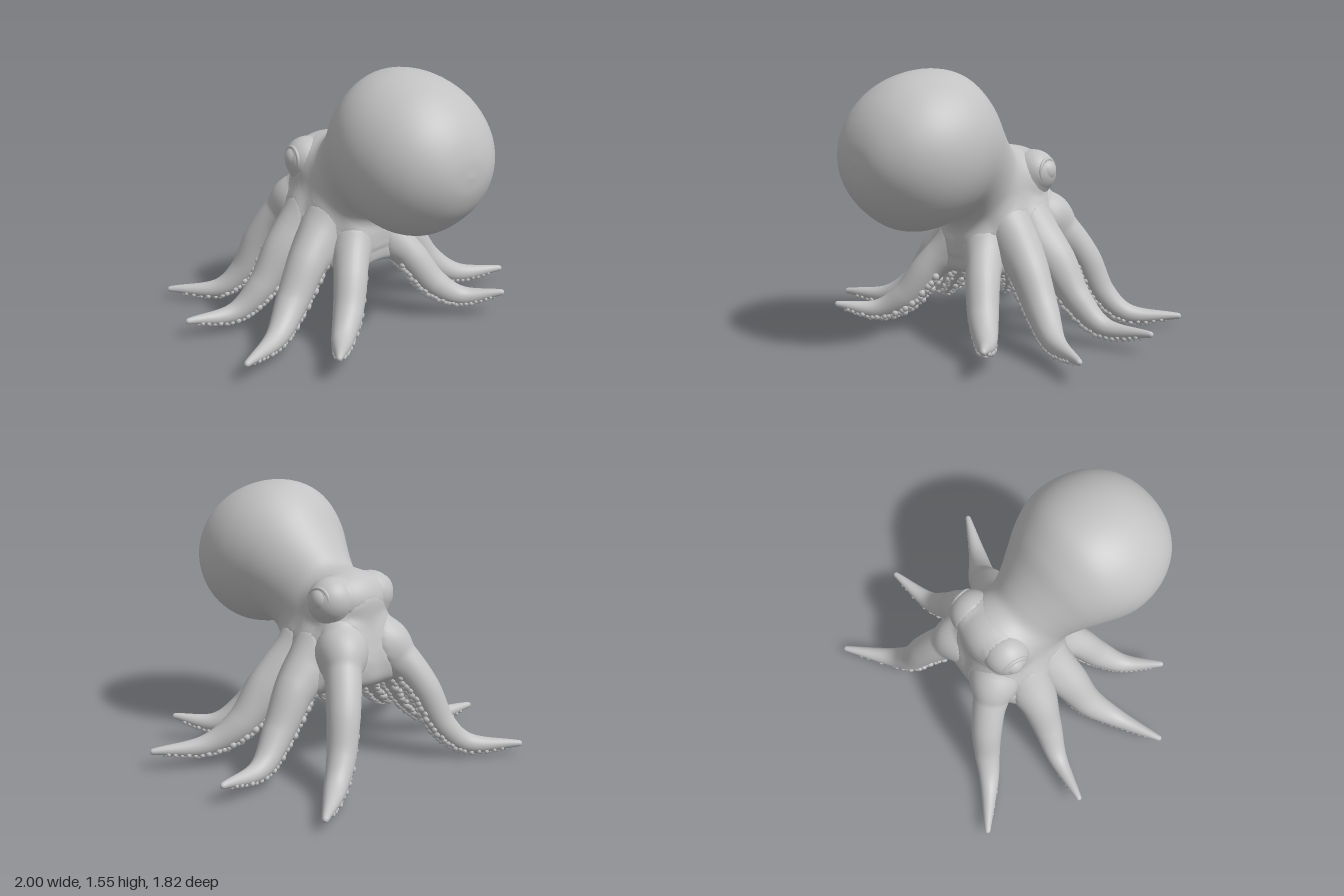
import * as THREE from 'three';
import { mergeGeometries, mergeVertices } from 'three/addons/utils/BufferGeometryUtils.js';

const V = (x, y, z) => new THREE.Vector3(x, y, z);
const skin = new THREE.MeshStandardMaterial({ color: 0xc2c2c2 });
skin.name = 'grey skin';

function part(name, geometry) {
  const m = new THREE.Mesh(geometry, skin);
  m.name = name;
  return m;
}

// Smooth skin over a list of closed rings with equal point counts
function loft(rings) {
  const n = rings[0].length, index = [];
  for (let i = 0; i < rings.length - 1; i++) {
    for (let j = 0; j < n; j++) {
      const k = (j + 1) % n;
      const a = i * n + j, b = i * n + k, c = a + n, d = b + n;
      index.push(a, b, c, b, d, c);
    }
  }
  const g = new THREE.BufferGeometry();
  g.setAttribute('position', new THREE.Float32BufferAttribute(rings.flat().flatMap(p => [p.x, p.y, p.z]), 3));
  g.setIndex(index);
  g.computeVertexNormals();
  return g;
}

function ellipsoid(c, r) {
  const g = new THREE.SphereGeometry(1, 40, 28).scale(...r).translate(...c);
  g.deleteAttribute('uv');
  return mergeVertices(g);
}

// Swell every surface where it meets another, so that the joins become smooth fillets
function blend(geometries, k) {
  const shapes = geometries.map(g => {
    g.computeBoundingBox();
    return { p: g.attributes.position.array.slice(), n: g.attributes.normal.array.slice(), box: g.boundingBox.clone().expandByScalar(k) };
  });
  const point = V(0, 0, 0);
  geometries.forEach((g, gi) => {
    const { p, n } = shapes[gi], out = g.attributes.position.array;
    for (let i = 0; i < p.length; i += 3) {
      point.fromArray(p, i);
      let swell = 0;
      shapes.forEach((o, oi) => {
        if (oi === gi || !o.box.containsPoint(point)) return;
        let best = k * k, near = -1;
        for (let j = 0; j < o.p.length; j += 3) {
          const dx = point.x - o.p[j], dy = point.y - o.p[j + 1], dz = point.z - o.p[j + 2];
          const d2 = dx * dx + dy * dy + dz * dz;
          if (d2 < best) { best = d2; near = j; }
        }
        if (near < 0) return;
        const d = Math.abs((point.x - o.p[near]) * o.n[near] + (point.y - o.p[near + 1]) * o.n[near + 1] + (point.z - o.p[near + 2]) * o.n[near + 2]);
        swell = Math.max(swell, k / 4 * (1 - Math.min(1, d / k)) ** 2);
      });
      for (let c = 0; c < 3; c++) out[i + c] = p[i + c] + n[i + c] * swell;
    }
    g.computeVertexNormals();
  });
}

// Body sections: [upper z, upper y, lower z, lower y, half width]
const SECTIONS = [
  [.91, 1.07, .91, 1.07, 0],
  [.90, 1.18, .895, .97, .13],
  [.86, 1.29, .85, .87, .23],
  [.78, 1.40, .77, .78, .325],
  [.66, 1.49, .66, .705, .395],
  [.52, 1.54, .55, .68, .428],
  [.38, 1.555, .46, .685, .43],
  [.25, 1.53, .38, .70, .405],
  [.12, 1.43, .31, .72, .36],
  [.02, 1.30, .27, .71, .315],
  [-.07, 1.19, .235, .67, .275],
  [-.14, 1.12, .22, .63, .255],
  [-.24, 1.08, .22, .58, .25],
  [-.33, 1.04, .22, .53, .255],
  [-.38, .97, .22, .50, .265],
  [-.41, .85, .215, .48, .29],
  [-.435, .72, .215, .45, .32],
  [-.465, .60, .21, .42, .355],
  [-.46, .51, .19, .40, .355],
  [-.40, .46, .14, .42, .29],
  [-.25, .55, .05, .50, .15],
  [-.10, .58, -.10, .58, 0],
];

// Mantle, neck and web, hollowed beneath
function bodyGeometry() {
  const upper = new THREE.CatmullRomCurve3(SECTIONS.map(s => V(s[4], s[1], s[0])));
  const lower = new THREE.CatmullRomCurve3(SECTIONS.map(s => V(0, s[3], s[2])));
  const rings = [], steps = 126, sides = 72;
  for (let i = 0; i <= steps; i++) {
    const t = upper.getPoint(i / steps), b = lower.getPoint(i / steps);
    const ring = [];
    for (let j = 0; j < sides; j++) {
      const a = j / sides * Math.PI * 2, k = (1 + Math.cos(a)) / 2;
      ring.push(V(t.x * Math.sin(a) - .012, b.y + (t.y - b.y) * k, b.z + (t.z - b.z) * k));
    }
    rings.push(ring);
  }
  return loft(rings);
}

// Arm paths on the left side: [x, y, z, radius]
const ARMS = {
  front: [[.05, .70, -.02, .07], [.13, .55, .13, .09], [.23, .39, .235, .095], [.335, .215, .33, .085], [.46, .13, .43, .06], [.63, .16, .61, .018]],
  frontSide: [[.04, .78, -.06, .07], [.19, .66, -.02, .105], [.37, .46, .025, .11], [.53, .245, .07, .092], [.70, .13, .16, .062], [.98, .12, .29, .018]],
  backSide: [[.04, .80, -.14, .07], [.19, .68, -.18, .105], [.36, .49, -.205, .11], [.51, .26, -.23, .088], [.67, .115, -.28, .06], [.95, .12, -.34, .018]],
  back: [[.04, .88, -.16, .07], [.14, .74, -.32, .1], [.22, .60, -.435, .1], [.31, .42, -.54, .092], [.395, .2, -.615, .078], [.51, .085, -.695, .06], [.75, .075, -.895, .018]],
};

// Sweep frame along one arm; s mirrors it to the right side
function armFrame(points, s) {
  const path = new THREE.CatmullRomCurve3(points.map(p => V(p[0] * s, p[1], p[2])));
  const radii = new THREE.CatmullRomCurve3(points.map(p => V(p[3], 0, 0)));
  return u => {
    const t = path.getTangent(u);
    const side = t.clone().cross(V(0, 1, 0)).normalize();
    return { c: path.getPoint(u), r: radii.getPoint(u).x, side, up: side.clone().cross(t), t };
  };
}
const around = (f, a, r) => f.c.clone().addScaledVector(f.up, Math.cos(a) * r).addScaledVector(f.side, Math.sin(a) * r);

// Tapering limb with a rounded tip
function limbGeometry(frame) {
  const rings = [], steps = 76, sides = 28;
  const addRing = (f, r) => rings.push(Array.from({ length: sides }, (_, j) => around(f, j / sides * Math.PI * 2, r)));
  for (let i = 0; i <= steps; i++) {
    const f = frame(i / steps);
    addRing(f, f.r);
  }
  for (const a of [.5, 1, Math.PI / 2]) {
    const f = frame(1);
    f.c.addScaledVector(f.t, f.r * Math.sin(a));
    addRing(f, f.r * Math.cos(a));
  }
  return loft(rings);
}

// Three staggered, slightly uneven rows of suckers along the underside
function suckerGeometry(frame) {
  const suckers = [], count = 25;
  for (let i = 0; i < count; i++) {
    for (const row of [-1, 0, 1]) {
      const f = frame(.4 + .57 * (i + (row ? 0 : .5)) / count);
      const wobble = Math.sin(i * 2.4 + row * 1.7);
      const p = around(f, Math.PI + row * .8 + wobble * .1, f.r * .98);
      suckers.push(new THREE.SphereGeometry(.008 + f.r * (.14 + .035 * wobble), 7, 5).translate(p.x, p.y, p.z));
    }
  }
  return mergeGeometries(suckers);
}

export function createModel() {
  const model = new THREE.Group();
  model.name = 'octopus';
  const soft = [part('mantleAndWeb', bodyGeometry()), part('brow', ellipsoid([0, .95, -.25], [.245, .125, .135]))];
  model.add(...soft);

  for (const s of [1, -1]) {
    const label = s > 0 ? 'left' : 'right';
    // Eye with its socket and lid ring
    const socket = part('socket', ellipsoid([.165 * s, .95, -.262], [.1, .115, .108]));
    const lid = part('eyelid', new THREE.TorusGeometry(.071, .012, 10, 36));
    lid.position.set(.246 * s, .96, -.268);
    lid.rotation.y = s * (Math.PI / 2 + .15);
    const eye = new THREE.Group();
    eye.name = label + 'Eye';
    eye.add(socket, part('eyeball', ellipsoid([.232 * s, .963, -.268], [.055, .066, .064])), lid);
    model.add(eye);
    soft.push(socket);

    for (const [name, points] of Object.entries(ARMS)) {
      const frame = armFrame(points, s);
      const limb = part('limb', limbGeometry(frame));
      const arm = new THREE.Group();
      arm.name = `${label} ${name} arm`;
      arm.add(limb, part('suckers', suckerGeometry(frame)));
      model.add(arm);
      soft.push(limb);
    }
  }
  blend(soft.map(m => m.geometry), .1);
  return model;
}
